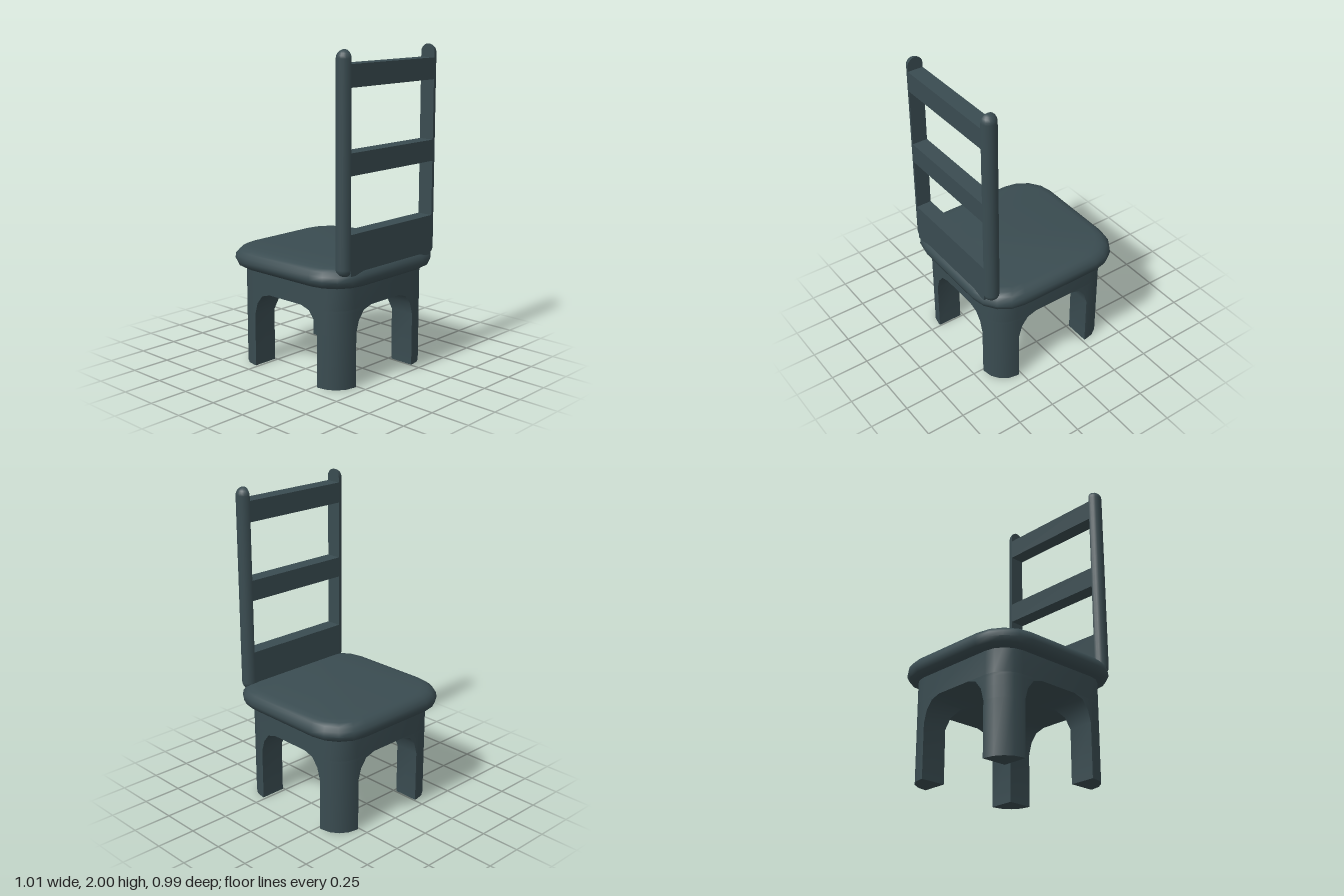
import * as THREE from 'three';
import { toCreasedNormals } from 'three/addons/utils/BufferGeometryUtils.js';

const material = new THREE.MeshStandardMaterial({ color: 0x3a4c51 });
const doubleSided = new THREE.MeshStandardMaterial({ color: 0x3a4c51, side: THREE.DoubleSide });

// Quarter arc of a rounded corner, as [x, z] points
function arc(cx, cz, r, start, seg = 4) {
  return Array.from({ length: seg + 1 }, (_, i) => {
    const a = start + (i / seg) * Math.PI / 2;
    return [cx + r * Math.cos(a), cz + r * Math.sin(a)];
  });
}

function roundedRect(hx, hz, r) {
  const x = hx - r, z = hz - r, q = Math.PI / 2;
  return [...arc(x, z, r, 0), ...arc(-x, z, r, q), ...arc(-x, -z, r, 2 * q), ...arc(x, -z, r, 3 * q)];
}

// Skin convex outlines stacked upward; rings = [{ y, pts }]
function loft(rings, capBottom = true, capTop = true, crease = 0.7) {
  const n = rings[0].pts.length, pos = [], idx = [];
  for (const { y, pts } of rings) for (const [x, z] of pts) pos.push(x, y, z);
  for (let k = 0; k < rings.length - 1; k++) {
    for (let i = 0; i < n; i++) {
      const a = k * n + i, a1 = k * n + (i + 1) % n;
      idx.push(a, a + n, a1, a1, a + n, a1 + n);
    }
  }
  const t = (rings.length - 1) * n;
  for (let i = 1; i < n - 1; i++) {
    if (capBottom) idx.push(0, i, i + 1);
    if (capTop) idx.push(t, t + i + 1, t + i);
  }
  const g = new THREE.BufferGeometry();
  g.setAttribute('position', new THREE.Float32BufferAttribute(pos, 3));
  g.setIndex(idx);
  return toCreasedNormals(g, crease);
}

export function createModel() {
  const chair = new THREE.Group();
  chair.name = 'chair';
  const add = (name, geometry, parent = chair, mat = material) => {
    const mesh = new THREE.Mesh(geometry, mat);
    mesh.name = name;
    parent.add(mesh);
    return mesh;
  };

  const HX = 0.432, HZ = 0.422, R = 0.15;

  // Seat: rounded square with a soft, bulging rim [y, inset]
  const rim = [[0.63, 0.035], [0.645, 0.012], [0.675, 0], [0.705, 0.004], [0.73, 0.022], [0.745, 0.045], [0.752, 0.08]];
  add('seat', loft(rim.map(([y, d]) => ({ y, pts: roundedRect(0.505 - d, 0.495 - d, 0.23 - d * 0.5) }))));

  // Apron block under the seat
  add('apron', loft([0.485, 0.64].map(y => ({ y, pts: roundedRect(HX, HZ, R) }))));

  // Legs: inner faces flare into arches on all four sides [y, shift towards centre]
  const arch = [[0, 0], [0.335, 0], [0.41, 0.022], [0.465, 0.066], [0.485, 0.132]];
  for (const sx of [1, -1]) for (const sz of [1, -1]) {
    const rings = arch.map(([y, s]) => {
      const wx = 0.268 - s, wz = 0.258 - s;
      const pts = [[wx, wz], [HX, wz], ...arc(HX - R, HZ - R, R, 0), [wx, HZ]].map(([x, z]) => [x * sx, z * sz]);
      return { y, pts: sx * sz < 0 ? pts.reverse() : pts };
    });
    add(`${sx > 0 ? 'back' : 'front'}Leg${sz > 0 ? 'A' : 'B'}`, loft(rings, true, false));
  }

  // Backrest along the +x edge of the seat
  const back = new THREE.Group();
  back.name = 'backrest';
  back.position.x = 0.435;
  chair.add(back);

  // Posts: half round, domed at both ends, flat on the inside
  const r = 0.05, low = 0.70, high = 2.0, profile = [];
  for (let i = 0; i <= 5; i++) {
    const a = (i / 5) * Math.PI / 2;
    profile.push(new THREE.Vector2(r * Math.sin(a), low + r - r * Math.cos(a)));
  }
  for (let i = 0; i <= 5; i++) {
    const a = (i / 5) * Math.PI / 2;
    profile.push(new THREE.Vector2(r * Math.cos(a), high - r + r * Math.sin(a)));
  }
  const outline = [...profile, ...profile.slice(1, -1).reverse().map(p => new THREE.Vector2(-p.x, p.y))];
  for (const s of [1, -1]) {
    const post = new THREE.Group();
    post.name = s > 0 ? 'postA' : 'postB';
    post.position.z = 0.365 * s;
    post.rotation.y = s > 0 ? 0 : Math.PI;
    post.scale.z = 1.08;
    add('postRound', new THREE.LatheGeometry(profile, 10, -Math.PI / 2, Math.PI), post);
    add('postInnerFace', new THREE.ShapeGeometry(new THREE.Shape(outline)), post, doubleSided);
    back.add(post);
  }

  // Rails between the posts
  [['lowerRail', 0.71, 0.957], ['middleRail', 1.295, 1.425], ['topRail', 1.79, 1.92]].forEach(([name, y0, y1]) => {
    add(name, new THREE.BoxGeometry(2 * r, y1 - y0, 0.73), back).position.y = (y0 + y1) / 2;
  });

  return chair;
}
